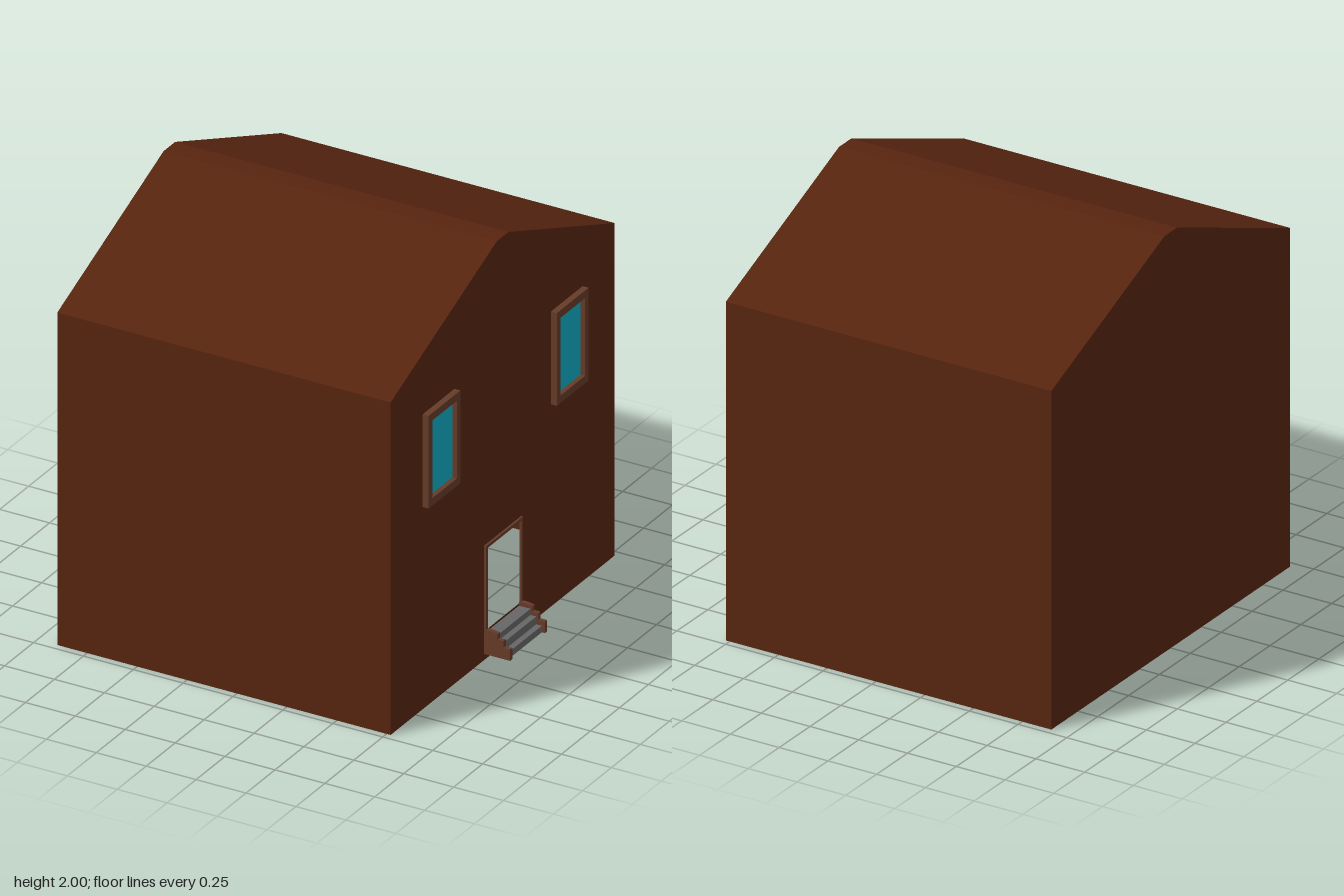
import * as THREE from 'three';

const mat = (name, color, side = THREE.FrontSide) => {
  const m = new THREE.MeshStandardMaterial({ color, side });
  m.name = name;
  return m;
};

const LEFT = -0.9, RIGHT = 0.77, DEPTH = 0.967, EAVE = 1.627, TOP = 2, RIDGE = 0.05;

const polygon = (points) => new THREE.Shape(points.map(([x, y]) => new THREE.Vector2(x, y)));
const rect = (x0, y0, x1, y1) => [[x0, y0], [x1, y0], [x1, y1], [x0, y1]];

export function createModel() {
  const brown = mat('house brown', 0x57240f, THREE.DoubleSide);
  const trim = mat('trim brown', 0x663b28);
  const glass = mat('window blue', 0x0fa9c0);
  const stone = mat('step grey', 0x666666);

  const house = new THREE.Group();
  house.name = 'house';
  const add = (name, geometry, material, parent = house) => {
    const mesh = new THREE.Mesh(geometry, material);
    mesh.name = name;
    parent.add(mesh);
    return mesh;
  };

  // Gable outline, drawn across the depth of the house
  const outline = [[-DEPTH, 0], [DEPTH, 0], [DEPTH, EAVE], [RIDGE, TOP], [-RIDGE, TOP], [-DEPTH, EAVE]];

  // Gable walls: the entrance one has a doorway cut out
  const entrance = polygon(outline);
  entrance.holes.push(polygon(rect(-0.145, 0.14, 0.145, 0.545)));
  const entranceWall = add('entranceWall', new THREE.ShapeGeometry(entrance).rotateY(Math.PI / 2), brown);
  entranceWall.position.x = RIGHT;
  const blindWall = add('blindWall', new THREE.ShapeGeometry(polygon(outline)).rotateY(-Math.PI / 2), brown);
  blindWall.position.x = LEFT;

  // Long walls and roof: flat sheets between outline corners, with an open underside
  const names = ['frontWall', 'frontRoof', 'roofRidge', 'backRoof', 'backWall'];
  names.forEach((name, i) => {
    const [z0, y0] = outline[i + 1];
    const [z1, y1] = outline[(i + 2) % outline.length];
    const sheet = new THREE.BufferGeometry();
    sheet.setAttribute('position', new THREE.Float32BufferAttribute([
      LEFT, y0, z0, RIGHT, y0, z0, RIGHT, y1, z1, LEFT, y1, z1], 3));
    sheet.setIndex([0, 1, 2, 0, 2, 3]);
    sheet.computeVertexNormals();
    add(name, sheet, brown);
  });

  // Windows: projecting frame around a recessed pane
  for (const side of [1, -1]) {
    const frameShape = polygon(rect(-0.137, -0.227, 0.137, 0.227));
    frameShape.holes.push(polygon(rect(-0.106, -0.19, 0.106, 0.19)));
    const win = new THREE.Group();
    win.name = side > 0 ? 'frontWindow' : 'backWindow';
    win.position.set(RIGHT, 1.217, side * 0.553);
    win.rotation.y = Math.PI / 2;
    house.add(win);
    add('windowFrame', new THREE.ExtrudeGeometry(frameShape, { depth: 0.03, bevelEnabled: false }), trim, win);
    const pane = add('windowPane', new THREE.BoxGeometry(0.212, 0.38, 0.006), glass, win);
    pane.position.z = 0.005;
  }

  // Door surround
  const surround = polygon([
    [-0.16, 0.14], [-0.145, 0.14], [-0.145, 0.545], [0.145, 0.545],
    [0.145, 0.14], [0.16, 0.14], [0.16, 0.56], [-0.16, 0.56]]);
  const doorFrame = add('doorFrame',
    new THREE.ExtrudeGeometry(surround, { depth: 0.01, bevelEnabled: false }).rotateY(Math.PI / 2), trim);
  doorFrame.position.x = RIGHT;

  // Entrance steps: each tread runs back to the wall
  const steps = new THREE.Group();
  steps.name = 'entranceSteps';
  house.add(steps);
  [[0.885, 0.03, 0.062], [0.857, 0.062, 0.1], [0.828, 0.1, 0.13]].forEach(([x, y0, y1]) => {
    const step = add('step', new THREE.BoxGeometry(x - RIGHT, y1 - y0, 0.28), stone, steps);
    step.position.set((x + RIGHT) / 2, (y0 + y1) / 2, 0);
  });

  // Stepped side pieces
  const stringer = polygon([
    [RIGHT, 0.03], [0.9, 0.03], [0.9, 0.085], [0.867, 0.085], [0.867, 0.118],
    [0.838, 0.118], [0.838, 0.145], [0.805, 0.15], [RIGHT, 0.15]]);
  for (const z of [0.14, -0.16]) {
    const piece = add('stepSide', new THREE.ExtrudeGeometry(stringer, { depth: 0.02, bevelEnabled: false }), trim, steps);
    piece.position.z = z;
  }

  return house;
}
